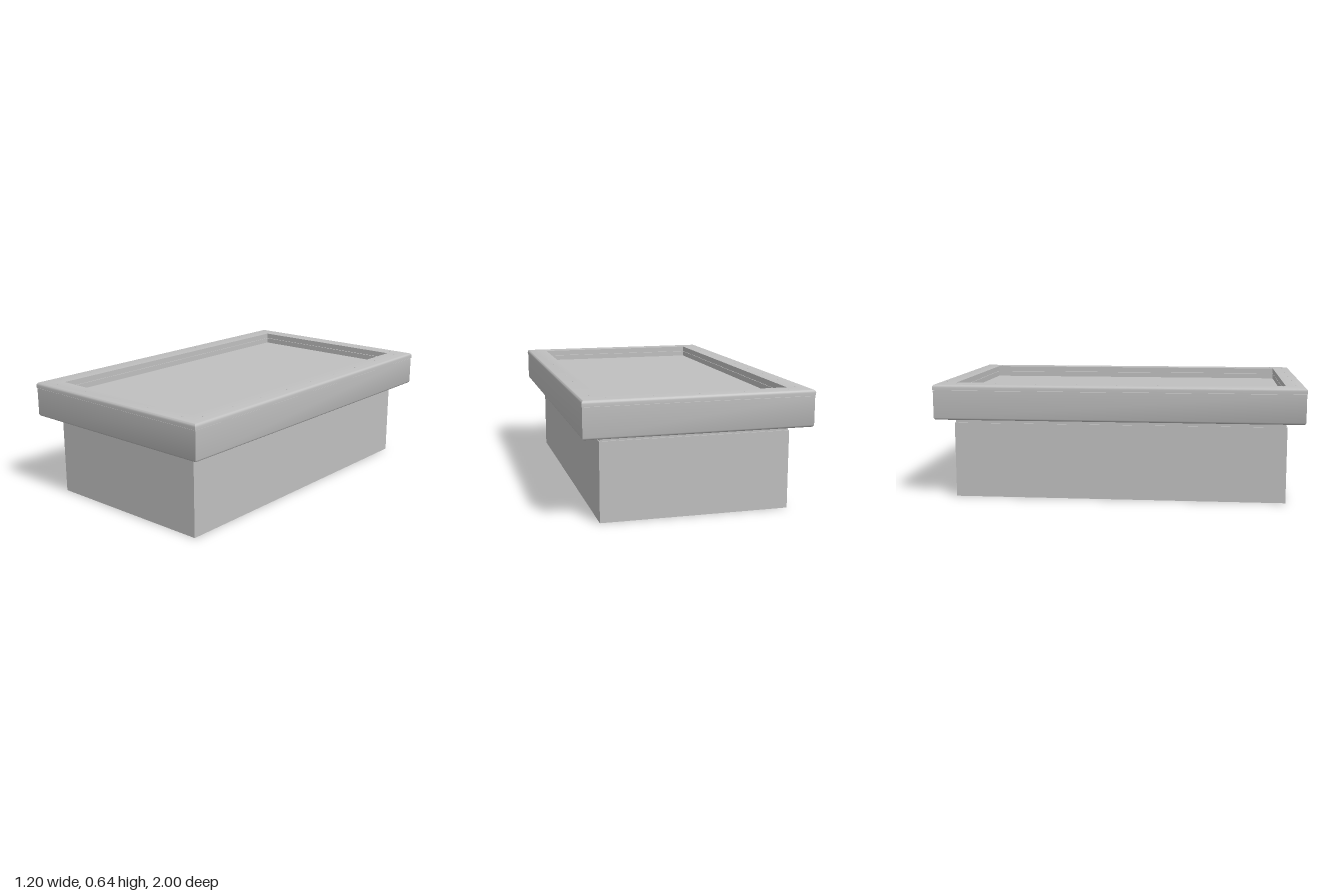
import * as THREE from 'three';
import { toCreasedNormals } from 'three/addons/utils/BufferGeometryUtils.js';

// Sweep a closed section of [half width, half length, height] around a mitred rectangle
function ring(section) {
  const corners = [[1, 1], [1, -1], [-1, -1], [-1, 1]];
  const pos = [];
  const at = ([x, z, y], [sx, sz]) => [sx * x, y, sz * z];
  section.forEach((a, i) => {
    const b = section[(i + 1) % section.length];
    corners.forEach((c, k) => {
      const d = corners[(k + 1) % 4];
      const q = [at(a, c), at(a, d), at(b, d), at(b, c)];
      for (const n of [0, 1, 2, 0, 2, 3]) pos.push(...q[n]);
    });
  });
  const g = new THREE.BufferGeometry();
  g.setAttribute('position', new THREE.Float32BufferAttribute(pos, 3));
  return toCreasedNormals(g, 0.6);
}

export function createModel() {
  const group = new THREE.Group();
  const grey = new THREE.MeshStandardMaterial({ color: 0xc0c0c0 });
  grey.name = 'light grey';

  const add = (name, geometry) => {
    const mesh = new THREE.Mesh(geometry, grey);
    mesh.name = name;
    group.add(mesh);
    return mesh;
  };

  // Hollow curb, open at the bottom
  add('curb', ring([
    [0.5, 0.91, 0], [0.5, 0.91, 0.415], [0.49, 0.9, 0.415], [0.49, 0.9, 0],
  ]));

  // Recessed neck between curb and frame
  add('neck', ring([
    [0.495, 0.903, 0.412], [0.495, 0.903, 0.45], [0.485, 0.893, 0.45], [0.485, 0.893, 0.412],
  ]));

  // Frame skirt with a softened lower edge
  add('frameSkirt', ring([
    [0.588, 0.988, 0.445], [0.594, 0.994, 0.449], [0.597, 0.997, 0.456],
    [0.597, 0.997, 0.605], [0.485, 0.895, 0.605], [0.485, 0.895, 0.445],
  ]));

  // Cap with a rounded outer edge
  const cap = [[0.6, 1, 0.607]];
  const r = 0.016;
  for (let i = 0; i <= 5; i++) {
    const t = (i / 5) * Math.PI / 2;
    const out = r * (1 - Math.cos(t));
    cap.push([0.6 - out, 1 - out, 0.638 - r + r * Math.sin(t)]);
  }
  cap.push([0.485, 0.895, 0.638], [0.485, 0.895, 0.607]);
  add('frameCap', ring(cap));

  // Sunken panel
  const panel = add('panel', new THREE.BoxGeometry(0.972, 0.012, 1.792));
  panel.position.y = 0.569;

  // Small screw heads along the cap
  const screw = new THREE.CylinderGeometry(0.004, 0.005, 0.003, 8);
  const addScrew = (x, z) => add('screw', screw).position.set(x, 0.6385, z);
  for (const s of [-1, 1]) {
    for (let i = -4; i <= 4; i++) addScrew(s * 0.54, i * 0.22);
    for (let i = -2; i <= 2; i++) addScrew(i * 0.235, s * 0.95);
  }
  return group;
}
